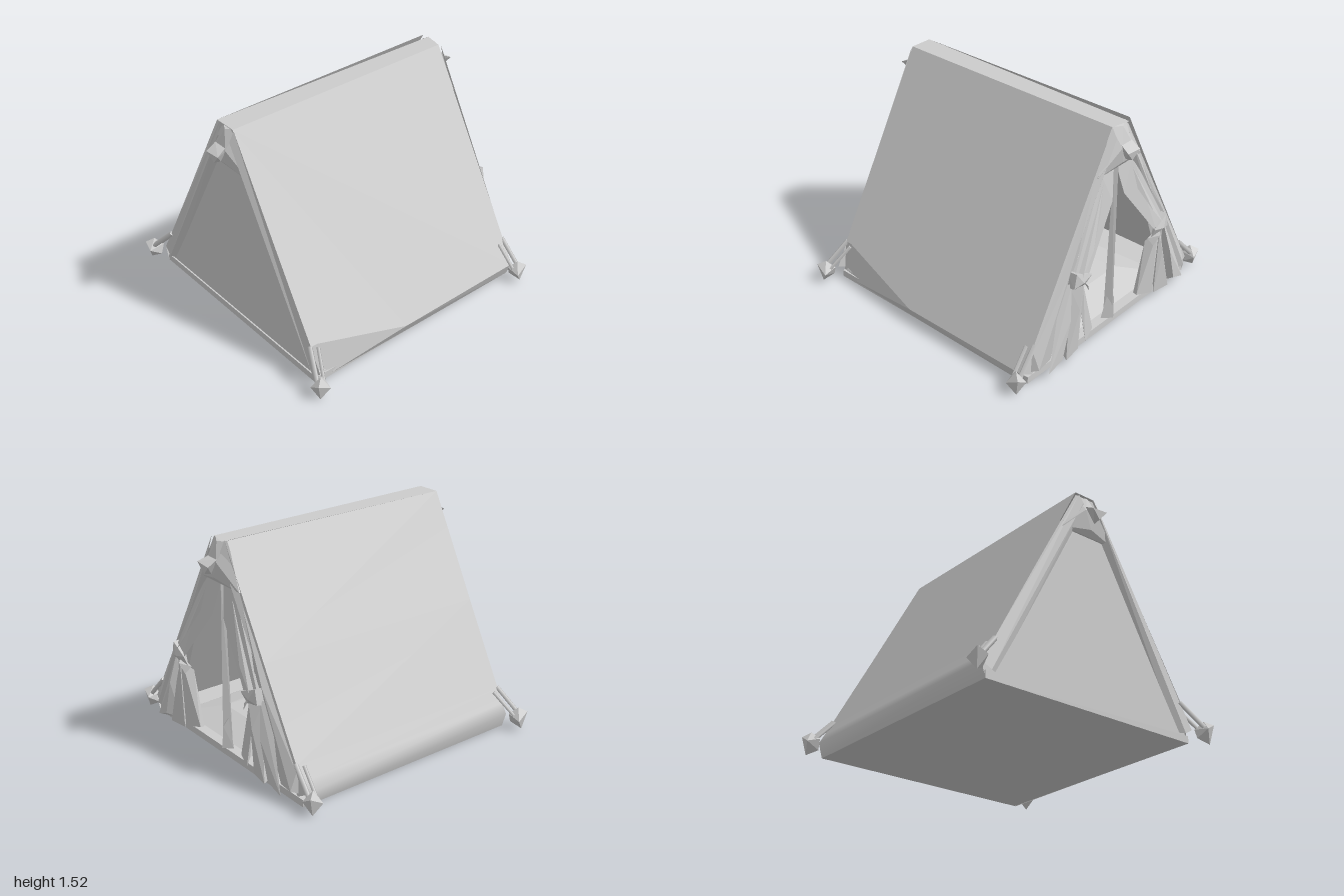
import * as THREE from 'three';
import { ConvexGeometry } from 'three/addons/geometries/ConvexGeometry.js';

const canvas = new THREE.MeshStandardMaterial({ color: 0xcccccc, side: THREE.DoubleSide });
canvas.name = 'grey canvas';

export function createModel() {
  const tent = new THREE.Group();
  tent.name = 'tent';

  const add = (name, geometry, parent = tent) => {
    const mesh = new THREE.Mesh(geometry, canvas);
    mesh.name = name;
    parent.add(mesh);
    return mesh;
  };
  const hull = (name, points, parent) =>
    add(name, new ConvexGeometry(points.map(p => new THREE.Vector3(...p))), parent);

  // Flat polygons, each listed counter-clockwise and split as a fan
  const sheet = (name, polygons, parent) => {
    const pos = [];
    for (const p of polygons)
      for (let i = 1; i < p.length - 1; i++) pos.push(...p[0], ...p[i], ...p[i + 1]);
    const g = new THREE.BufferGeometry();
    g.setAttribute('position', new THREE.Float32BufferAttribute(pos, 3));
    g.computeVertexNormals();
    return add(name, g, parent);
  };

  // Thin three-sided rope between two points
  const rope = (name, a, b, r, parent) => {
    const from = new THREE.Vector3(...a), to = new THREE.Vector3(...b);
    const dir = to.clone().sub(from);
    const m = add(name, new THREE.CylinderGeometry(r, r, dir.length(), 4), parent);
    m.position.copy(from).add(to).multiplyScalar(0.5);
    m.quaternion.setFromUnitVectors(new THREE.Vector3(0, 1, 0), dir.normalize());
  };

  // Front roof, with the hem tucked in towards the left corner
  sheet('frontRoof', [
    [[-0.87, 1.54, 0.06], [-0.87, 0.29, 0.78], [-0.82, 0.29, 0.78], [-0.14, 0.12, 0.88],
      [0.87, 0.12, 0.88], [0.86, 1.53, 0.06]],
  ]);
  sheet('frontHem', [
    [[-0.14, 0.12, 0.88], [0.87, 0.02, 0.84], [0.87, 0.12, 0.88]],
    [[-0.14, 0.12, 0.88], [-0.87, 0.02, 0.82], [0.87, 0.02, 0.84]],
    [[-0.82, 0.29, 0.78], [-0.87, 0.02, 0.82], [-0.14, 0.12, 0.88]],
    [[-0.87, 0.29, 0.78], [-0.87, 0.02, 0.82], [-0.82, 0.29, 0.78]],
  ]);
  sheet('ridge', [
    [[-0.87, 1.54, 0.06], [0.86, 1.53, 0.06], [0.89, 1.53, -0.07], [-0.87, 1.54, -0.1]],
  ]);

  // Back roof and its rolled hem, smooth along the profile
  const profile = [[1.54, -0.1], [0.85, -0.47], [0.28, -0.78], [0.19, -0.83], [0.12, -0.87], [0.02, -0.84]];
  const roofBack = new THREE.PlaneGeometry(1.74, 1, 1, profile.length - 1);
  const bp = roofBack.attributes.position;
  for (let i = 0; i < bp.count; i++) {
    const [y, z] = profile[Math.floor(i / 2)];
    bp.setXYZ(i, -bp.getX(i), y, z);
  }
  roofBack.computeVertexNormals();
  add('backRoof', roofBack);

  // Inner lining and the folded edges round the doorway
  for (const s of [1, -1]) {
    sheet('lining', [
      [[-0.84, 1.46, s * 0.03], [0.86, 1.46, s * 0.03], [0.86, 0.08, s * 0.82], [-0.84, 0.08, s * 0.82]],
    ]);
    for (const e of [1, -1]) {
      const o = [[e * 0.87, 1.535, s * 0.07], [e * 0.87, 0.12, s * 0.87]];
      const m = [[e * 0.9, 1.46, s * 0.06], [e * 0.88, 0.08, s * 0.8]];
      const n = [[e * 0.86, 1.42, s * 0.03], [e * 0.85, 0.08, s * 0.74]];
      if (s * e > 0) sheet('edgeFold', [[o[0], m[0], m[1], o[1]], [m[0], n[0], n[1], m[1]]]);
      else sheet('edgeFold', [[o[0], o[1], m[1], m[0]], [m[0], m[1], n[1], n[0]]]);
    }
  }

  // Closed gable
  sheet('backWall', [
    [[-0.86, 1.53, 0.06], [-0.86, 1.53, -0.09], [-0.86, 0.28, -0.78], [-0.86, 0.1, -0.86],
      [-0.86, 0.02, -0.84], [-0.86, 0.02, 0.82], [-0.86, 0.28, 0.78]],
  ]);

  // Floor with a mat rising to the rear
  const floor = add('floor', new THREE.BoxGeometry(1.74, 0.05, 1.67));
  floor.position.set(0, 0.045, -0.005);
  hull('mat', [
    [0.8, 0.07, -0.65], [0.8, 0.07, 0.65], [0.6, 0.15, -0.4], [0.6, 0.15, 0.4],
    [-0.83, 0.07, -0.7], [-0.83, 0.07, 0.7], [-0.83, 0.28, -0.3], [-0.83, 0.34, 0], [-0.83, 0.31, 0.28],
  ]);

  // Gable caps with a pointed toggle at both ends
  for (const e of [1, -1]) {
    const cap = new THREE.Group();
    cap.name = e > 0 ? 'doorCap' : 'backCap';
    tent.add(cap);
    hull('capFlap', [
      [0.85, 1.53, 0.06], [0.85, 1.53, -0.08], [0.89, 1.52, -0.01], [0.93, 1.4, 0.04], [0.93, 1.4, -0.06],
      [0.88, 1.24, 0.21], [0.88, 1.24, -0.23], [0.84, 1.24, 0.21], [0.84, 1.24, -0.23], [0.91, 1.28, 0],
    ].map(([x, y, z]) => [e * (e > 0 ? x : x - 0.01), y, z]), cap);
    hull('capToggle', [
      [0.9, 1.38, 0.02], [0.92, 1.42, 0.04], [0.92, 1.42, -0.06], [0.99, 1.39, 0.06],
      [0.99, 1.38, -0.06], [0.98, 1.32, 0], [0.93, 1.31, 0],
    ].map(([x, y, z]) => [e * x, y, z]), cap);
  }

  // Tied-back curtains, mirrored about the door pole
  const curtainParts = {
    upperDrape: [[0.85, 1.24, 0.01], [0.87, 1.24, 0.16], [0.89, 1.02, 0.06], [0.91, 0.84, 0.2],
      [0.95, 0.6, 0.37], [0.93, 0.66, 0.47], [0.88, 0.95, 0.33]],
    drapeFold: [[0.88, 1.17, 0.15], [0.9, 1.0, 0.19], [0.95, 0.8, 0.31], [0.96, 0.66, 0.42], [0.9, 0.68, 0.45]],
    innerHem: [[0.94, 0.58, 0.39], [0.88, 0.52, 0.34], [0.91, 0.14, 0.24], [0.86, 0.12, 0.27],
      [0.95, 0.12, 0.36], [0.93, 0.5, 0.42]],
    middleHem: [[0.95, 0.58, 0.4], [0.9, 0.58, 0.47], [0.96, 0.42, 0.44], [0.93, 0.08, 0.41],
      [0.95, 0.08, 0.55], [0.86, 0.08, 0.5]],
    outerHem: [[0.92, 0.62, 0.48], [0.88, 0.62, 0.53], [0.96, 0.38, 0.53], [0.96, 0.12, 0.6],
      [0.95, 0.07, 0.72], [0.87, 0.07, 0.56]],
    sidePanel: [[0.86, 1.24, 0.16], [0.87, 1.24, 0.21], [0.91, 0.7, 0.49], [0.85, 0.62, 0.44],
      [0.88, 0.24, 0.79], [0.92, 0.12, 0.78], [0.86, 0.07, 0.6], [0.86, 0.1, 0.82]],
    tie: [[0.87, 0.7, 0.48], [0.95, 0.7, 0.47], [0.97, 0.62, 0.42], [0.96, 0.64, 0.33],
      [0.92, 0.55, 0.34], [0.87, 0.58, 0.5], [0.95, 0.6, 0.49]],
    tieEnd: [[0.94, 0.62, 0.4], [0.97, 0.58, 0.38], [0.95, 0.51, 0.34], [0.91, 0.56, 0.32]],
  };
  for (const s of [1, -1]) {
    const curtain = new THREE.Group();
    curtain.name = s > 0 ? 'frontCurtain' : 'backCurtain';
    tent.add(curtain);
    for (const [name, pts] of Object.entries(curtainParts))
      hull(name, pts.map(([x, y, z]) => [x, y, s * z]), curtain);
  }

  // Door pole with a flared foot
  hull('doorPole', [
    [0.85, 1.24, 0.01], [0.87, 1.24, -0.01], [0.85, 1.24, -0.02],
    [0.84, 0.1, 0.035], [0.89, 0.1, 0], [0.84, 0.1, -0.04],
  ]);
  hull('poleFoot', [
    [0.86, 0.3, 0.01], [0.86, 0.3, -0.03], [0.89, 0.24, -0.01],
    [0.84, 0.08, 0.06], [0.9, 0.08, 0], [0.84, 0.08, -0.05],
  ]);

  // Corner pegs, each held by two guy ropes
  for (const [sx, sz, x] of [[-1, 1, 0.92], [-1, -1, 0.92], [1, 1, 0.865], [1, -1, 0.865]]) {
    const peg = new THREE.Group();
    peg.name = 'cornerPeg';
    tent.add(peg);
    hull('pegHead', [
      [0.06, 0.11, -0.02], [-0.05, 0.13, -0.03], [0, 0.18, 0.01], [0.05, 0.15, 0.05],
      [-0.04, 0.1, 0.06], [0.02, 0.02, 0.03], [-0.02, 0.06, -0.04],
    ].map(([a, y, c]) => [sx * (x + a), y, sz * (0.925 + c)]), peg);
    rope('guyRope', [sx * (x + 0.02), 0.12, sz * 0.93], [sx * 0.87, 0.29, sz * 0.77], 0.018, peg);
    rope('guyRope', [sx * (x - 0.03), 0.12, sz * 0.93], [sx * 0.82, 0.27, sz * 0.79], 0.014, peg);
  }
  return tent;
}
